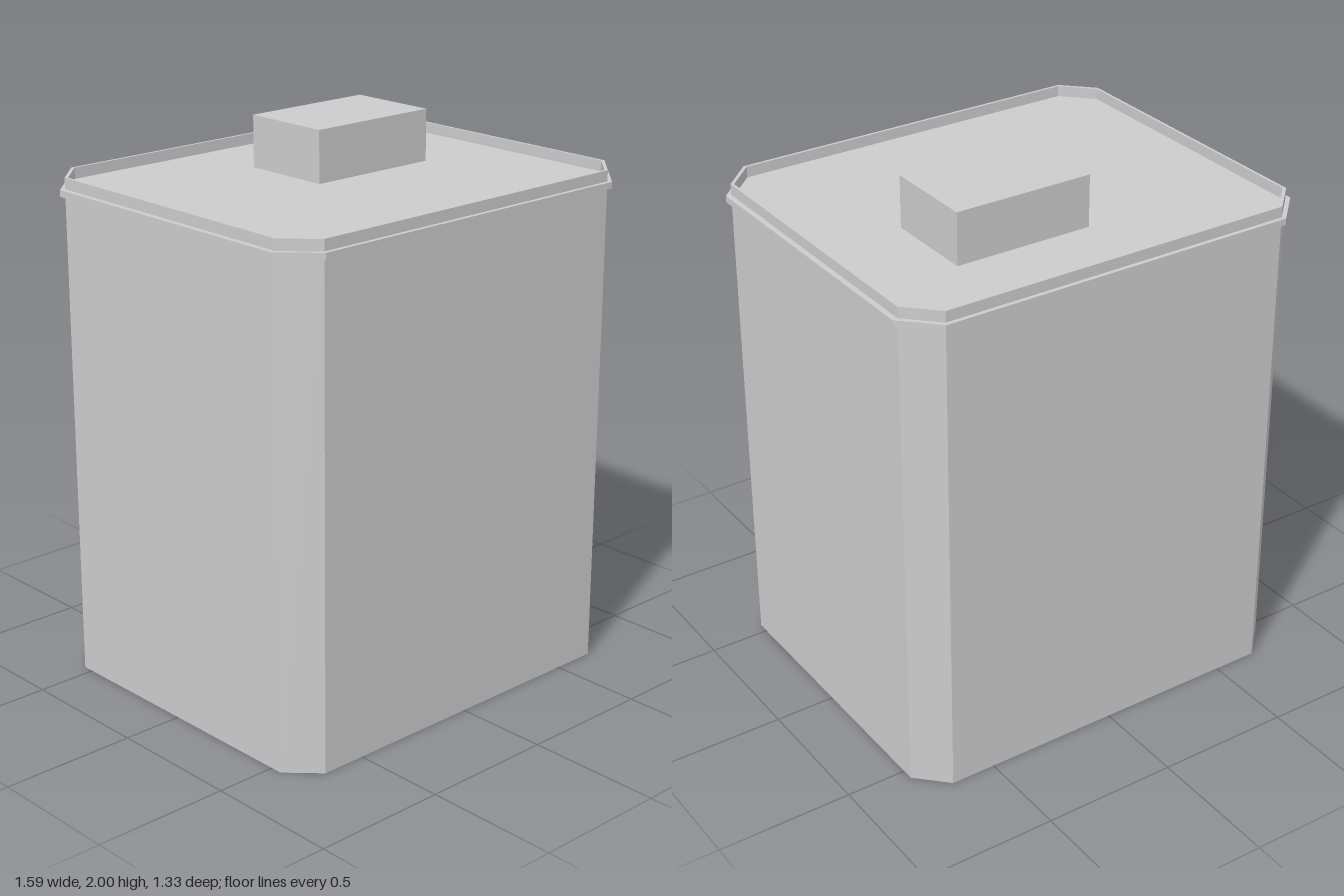
import * as THREE from 'three';

// Rectangle outline with cut corners, in plan
function octagon(hx, hz, cut) {
  const a = hx - cut, b = hz - cut;
  return [[hx, -b], [hx, b], [a, hz], [-a, hz], [-hx, b], [-hx, -b], [-a, -hz], [a, -hz]]
    .map(([x, y]) => new THREE.Vector2(x, y));
}

// Upright ring between two outlines
function ring(outer, inner, y0, y1) {
  const shape = new THREE.Shape(outer);
  shape.holes.push(new THREE.Path(inner));
  const geo = new THREE.ExtrudeGeometry(shape, { depth: y1 - y0, bevelEnabled: false });
  return geo.rotateX(-Math.PI / 2).translate(0, y0, 0);
}

// Thin wall following an outline, open at both ends
function band(outline, y0, y1) {
  const pos = [];
  outline.forEach((p, i) => {
    const q = outline[(i + 1) % outline.length];
    const a = [p.x, y0, -p.y], b = [q.x, y0, -q.y];
    const c = [q.x, y1, -q.y], d = [p.x, y1, -p.y];
    pos.push(...a, ...b, ...c, ...a, ...c, ...d);
  });
  const geo = new THREE.BufferGeometry();
  geo.setAttribute('position', new THREE.Float32BufferAttribute(pos, 3));
  geo.computeVertexNormals();
  return geo;
}

export function createModel() {
  const group = new THREE.Group();
  const grey = new THREE.MeshStandardMaterial({ color: 0xcccccc, side: THREE.DoubleSide });
  grey.name = 'light grey';
  const add = (name, geo) => {
    const mesh = new THREE.Mesh(geo, grey);
    mesh.name = name;
    group.add(mesh);
  };

  const wall = octagon(0.775, 0.65, 0.107);
  const inner = octagon(0.765, 0.64, 0.104);
  const lip = octagon(0.795, 0.665, 0.12);
  const deckY = 1.81;

  // Hollow body, open underneath
  add('walls', band(wall, 0, deckY));
  // Projecting trim and the raised edge above it
  add('trimBand', ring(lip, wall, 1.786, deckY));
  add('parapet', ring(wall, inner, deckY, 1.85));
  // Recessed roof
  add('roof', new THREE.ShapeGeometry(new THREE.Shape(inner))
    .rotateX(-Math.PI / 2).translate(0, deckY, 0));
  // Off-centre box on the roof
  add('roofBox', new THREE.BoxGeometry(0.52, 2 - deckY, 0.345)
    .translate(0.17, (2 + deckY) / 2, -0.175));

  return group;
}
